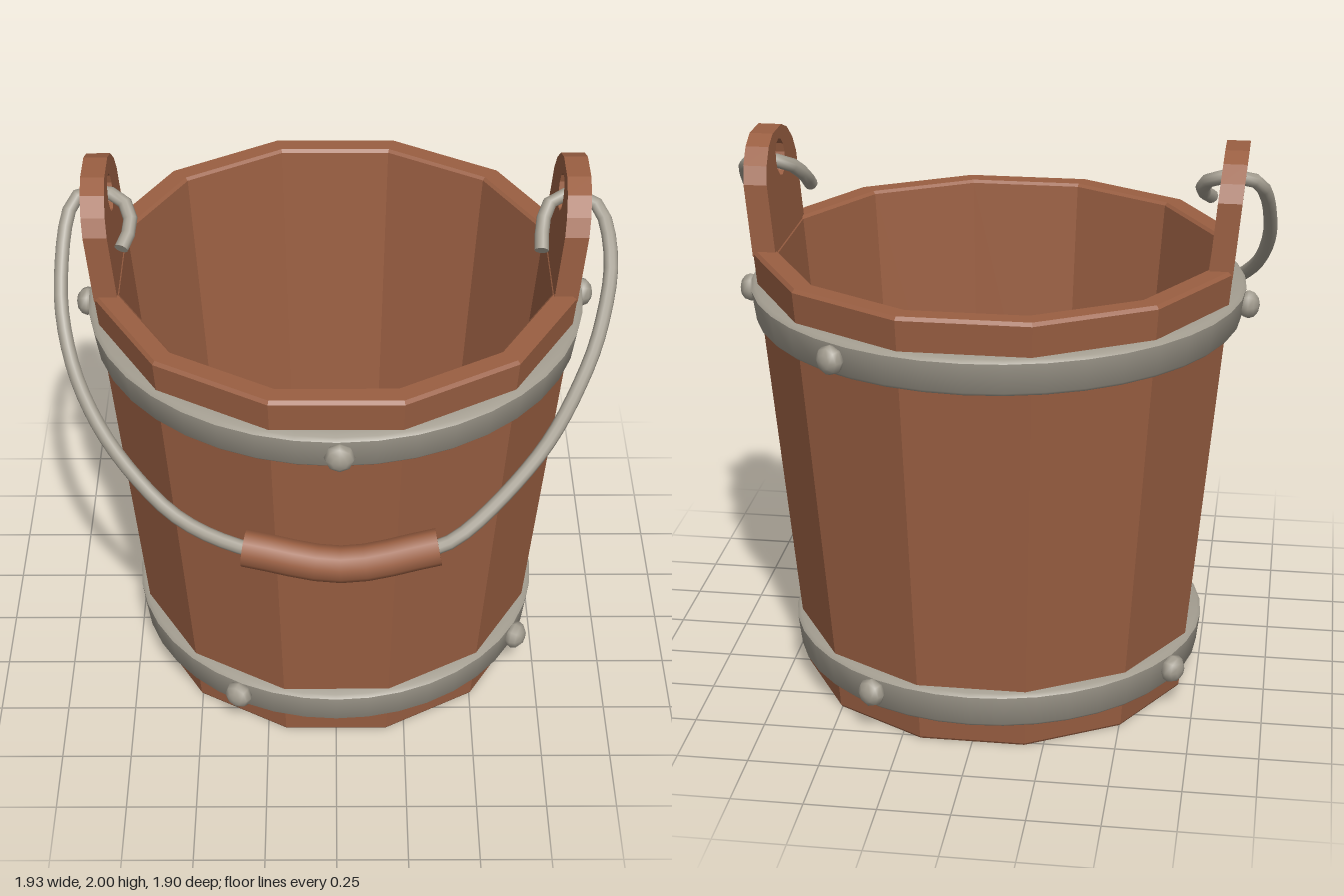
import * as THREE from 'three';
import { toCreasedNormals } from 'three/addons/utils/BufferGeometryUtils.js';

const SIDES = 12;
const AXIS_Z = -0.08; // the bucket sits a little behind the handle
const FLAT = 1 / Math.cos(Math.PI / SIDES); // flat-to-flat radius -> corner radius

const v2 = (pts, k = 1) => pts.map(([r, y]) => new THREE.Vector2(r * k, y));
const v3 = (pts) => pts.map((p) => new THREE.Vector3(...p));

function mesh(name, geometry, material) {
  const m = new THREE.Mesh(geometry, material);
  m.name = name;
  return m;
}

// Staved tub: outer wall, rim, inner wall, floor and recessed underside
function tubGeometry() {
  const profile = v2([
    [0, 0.05], [0.605, 0.05], [0.6, 0], [0.685, 0], [0.69, 0.008],
    [0.832, 1.608], [0.822, 1.62], [0.758, 1.62], [0.748, 1.61],
    [0.615, 0.1], [0, 0.1],
  ], FLAT);
  const g = new THREE.LatheGeometry(profile, SIDES);
  g.rotateY(Math.PI / SIDES);
  return toCreasedNormals(g, 0.3);
}

// Round tapered metal band with bevelled edges
function hoopGeometry(y0, y1, r0, r1, inner) {
  const b = 0.012;
  const profile = v2([
    [inner, y0], [r0 - b, y0], [r0, y0 + b], [r1, y1 - b],
    [r1 - b, y1], [inner, y1], [inner, y0],
  ]);
  return toCreasedNormals(new THREE.LatheGeometry(profile, 40), 0.9);
}

// Upright lug with a hole, leaning outwards with the wall
function earGeometry() {
  const half = [[0.23, 1.6], [0.23, 1.86], [0.2, 1.92], [0.14, 1.972], [0.066, 2]];
  const outline = half.concat(half.map(([u, y]) => [-u, y]).reverse());
  const shape = new THREE.Shape(v2(outline));
  const hole = new THREE.Path();
  hole.absarc(0, 1.9, 0.065, 0, Math.PI * 2, true);
  shape.holes.push(hole);
  const g = new THREE.ExtrudeGeometry(shape, { depth: 0.082, bevelEnabled: false, curveSegments: 6 });
  g.rotateY(Math.PI / 2);
  const lean = 0.088;
  g.applyMatrix4(new THREE.Matrix4().set(
    1, lean, 0, 0.752 - lean * 1.62,
    0, 1, 0, 0,
    0, 0, 1, 0,
    0, 0, 0, 1,
  ));
  return toCreasedNormals(g.toNonIndexed(), 0.3);
}

// Tube along a curve, closed by a disc at each end
function addCappedTube(group, name, curve, segments, radius, material) {
  group.add(mesh(name, new THREE.TubeGeometry(curve, segments, radius, 10), material));
  for (const t of [0, 1]) {
    const cap = mesh(name + 'End', new THREE.CircleGeometry(radius, 10), material);
    const p = curve.getPointAt(t);
    const d = curve.getTangentAt(t).multiplyScalar(t ? 1 : -1);
    cap.position.copy(p);
    cap.lookAt(p.clone().add(d));
    group.add(cap);
  }
}

export function createModel() {
  const wood = new THREE.MeshStandardMaterial({ color: 0x9a5f42 });
  wood.name = 'reddish brown wood';
  const metal = new THREE.MeshStandardMaterial({ color: 0xa39d90 });
  metal.name = 'warm grey metal';

  const model = new THREE.Group();
  model.name = 'bucket';

  const body = new THREE.Group();
  body.name = 'body';
  body.position.z = AXIS_Z;
  model.add(body);

  body.add(mesh('tub', tubGeometry(), wood));
  body.add(mesh('upperHoop', hoopGeometry(1.37, 1.5, 0.86, 0.875, 0.8), metal));
  body.add(mesh('lowerHoop', hoopGeometry(0.09, 0.222, 0.74, 0.753, 0.68), metal));

  // Ears on both sides
  const ear = earGeometry();
  for (const [name, turn] of [['leftEar', 0], ['rightEar', Math.PI]]) {
    const m = mesh(name, ear, wood);
    m.rotation.y = turn;
    body.add(m);
  }

  // Rivets around each hoop, placed by direction (x, z) from the axis
  const rivet = new THREE.SphereGeometry(0.052, 8, 6);
  rivet.rotateX(Math.PI / 2);
  const addRivets = (name, y, radius, directions) => {
    for (const [x, z] of directions) {
      const a = Math.atan2(x, z);
      const m = mesh(name, rivet, metal);
      m.position.set(Math.sin(a) * radius, y, Math.cos(a) * radius);
      m.rotation.y = a;
      m.scale.z = 0.75;
      body.add(m);
    }
  };
  addRivets('upperRivet', 1.435, 0.885, [[0.01, 0.88], [0.89, -0.075], [-0.89, -0.02], [0.46, -0.77]]);
  addRivets('lowerRivet', 0.163, 0.765, [[-0.36, 0.68], [0.68, 0.36], [0.36, -0.68], [-0.68, -0.36]]);

  // Swinging wire handle hooked through both ears
  const handle = new THREE.Group();
  handle.name = 'handle';
  model.add(handle);
  const wirePath = new THREE.CatmullRomCurve3(v3([
    [-0.735, 1.77, 0.075], [-0.705, 1.82, -0.01], [-0.745, 1.88, -0.08],
    [-0.89, 1.88, -0.09], [-0.945, 1.67, 0.11], [-0.912, 1.48, 0.29],
    [-0.82, 1.34, 0.47], [-0.69, 1.225, 0.62], [-0.525, 1.125, 0.745],
    [-0.31, 1.075, 0.835], [0.02, 1.045, 0.885], [0.34, 1.1, 0.86],
    [0.43, 1.14, 0.83], [0.69, 1.31, 0.615], [0.836, 1.455, 0.4],
    [0.905, 1.58, 0.26], [0.94, 1.755, 0.1], [0.895, 1.87, -0.05],
    [0.76, 1.88, -0.08], [0.715, 1.83, -0.02], [0.705, 1.76, 0.075],
  ]));
  addCappedTube(handle, 'handleWire', wirePath, 72, 0.025, metal);

  // Wooden grip
  const gripPath = new THREE.CatmullRomCurve3(v3([
    [-0.31, 1.075, 0.835], [0.02, 1.045, 0.885], [0.34, 1.1, 0.86],
  ]));
  addCappedTube(handle, 'grip', gripPath, 8, 0.063, wood);

  return model;
}
